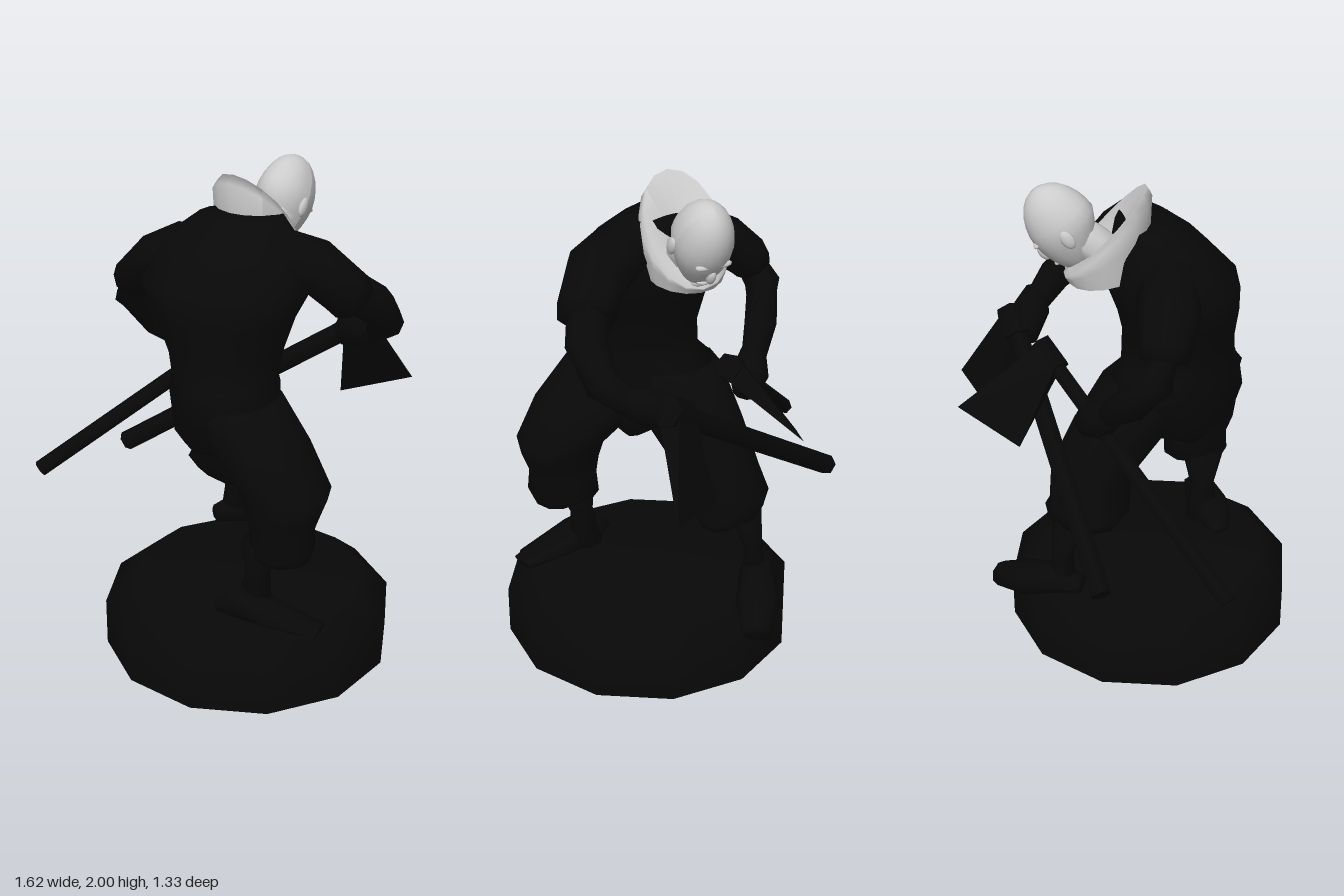
import * as THREE from 'three';
import { ConvexGeometry } from 'three/addons/geometries/ConvexGeometry.js';

const dark = new THREE.MeshStandardMaterial({ color: 0x080808, side: THREE.DoubleSide });
const skin = new THREE.MeshStandardMaterial({ color: 0xcccccc, side: THREE.DoubleSide });
const UP = new THREE.Vector3(0, 1, 0);
const V = (p) => new THREE.Vector3(...p);
const V2 = (p) => new THREE.Vector2(...p);

// Skin elliptical rings {c, rx, rz, q} into a closed body.
function skinRings(rings, n) {
  const pos = [], index = [];
  for (const { c, rx, rz, q } of rings) {
    for (let j = 0; j < n; j++) {
      const t = (j / n) * Math.PI * 2;
      const p = new THREE.Vector3(Math.cos(t) * rx, 0, Math.sin(t) * rz).applyQuaternion(q).add(c);
      pos.push(p.x, p.y, p.z);
    }
  }
  const last = rings.length - 1;
  for (let i = 0; i < last; i++) {
    for (let j = 0; j < n; j++) {
      const a = i * n + j, b = i * n + (j + 1) % n;
      index.push(a, a + n, b, b, a + n, b + n);
    }
  }
  const lo = pos.length / 3, hi = lo + 1;
  pos.push(...rings[0].c.toArray(), ...rings[last].c.toArray());
  for (let j = 0; j < n; j++) {
    const k = (j + 1) % n;
    index.push(lo, j, k, hi, last * n + k, last * n + j);
  }
  const g = new THREE.BufferGeometry();
  g.setAttribute('position', new THREE.Float32BufferAttribute(pos, 3));
  g.setIndex(index);
  g.computeVertexNormals();
  return g;
}

// Level rings, bottom to top: [x, y, z, rx, rz, yaw]
const stack = (rows, n = 10) => skinRings(rows.map(([x, y, z, rx, rz, yaw = 0]) => ({
  c: V([x, y, z]), rx, rz, q: new THREE.Quaternion().setFromAxisAngle(UP, yaw),
})), n);

// Rings square to a path: [x, y, z, half width, half thickness]
function limb(rows, n = 8) {
  const pts = rows.map((r) => V(r.slice(0, 3)));
  return skinRings(rows.map((r, i) => {
    const d = pts[Math.min(i + 1, pts.length - 1)].clone().sub(pts[Math.max(i - 1, 0)]).normalize();
    const s = UP.clone().cross(d).normalize();
    const m = new THREE.Matrix4().makeBasis(s, d, s.clone().cross(d));
    return { c: pts[i], rx: r[3], rz: r[4], q: new THREE.Quaternion().setFromRotationMatrix(m) };
  }), n);
}

export function createModel() {
  const model = new THREE.Group();
  const add = (name, geometry, material = dark, parent = model) => {
    const m = new THREE.Mesh(geometry, material);
    m.name = name;
    parent.add(m);
    return m;
  };

  // Hollow twelve-sided plinth with a chamfered top
  const profile = [[0.595, 0], [0.595, 0.2], [0.48, 0.295], [0, 0.295]].map(V2);
  add('base', new THREE.LatheGeometry(profile, 12)).position.set(0.04, 0, 0.07);

  // Hunched torso, turned at the shoulders
  add('torso', stack([
    [-0.04, 0.9, 0.12, 0.15, 0.06], [-0.05, 1.0, 0.12, 0.21, 0.24], [-0.06, 1.19, 0.12, 0.22, 0.3],
    [-0.06, 1.24, 0.13, 0.21, 0.23, -0.2], [-0.06, 1.36, 0.13, 0.23, 0.22, -0.3],
    [-0.06, 1.5, 0.12, 0.28, 0.24, -0.4], [-0.05, 1.62, 0.1, 0.34, 0.26, -0.45],
    [-0.02, 1.75, 0.06, 0.28, 0.19, -0.45], [0.02, 1.85, 0.03, 0.17, 0.1, -0.45],
  ], 12));

  // Baggy trouser legs
  add('rearTrouserLeg', stack([
    [0.13, 0.57, 0.43, 0.11, 0.1], [0.13, 0.61, 0.41, 0.13, 0.15], [0.13, 0.7, 0.41, 0.13, 0.14],
    [0.13, 0.77, 0.42, 0.15, 0.16], [0.14, 0.86, 0.41, 0.18, 0.18],
    [0.05, 1.02, 0.31, 0.2, 0.23], [-0.03, 1.19, 0.22, 0.18, 0.21],
  ]));
  add('frontTrouserLeg', stack([
    [0.07, 0.57, -0.26, 0.11, 0.09], [0.05, 0.62, -0.28, 0.18, 0.14], [0.01, 0.68, -0.28, 0.18, 0.15],
    [0.05, 0.81, -0.23, 0.17, 0.17], [0.01, 1.0, -0.1, 0.19, 0.21], [-0.04, 1.2, 0, 0.18, 0.2],
  ]));

  // Shins and feet
  add('rearShin', stack([[0.02, 0.31, 0.36, 0.08, 0.07], [0.04, 0.47, 0.37, 0.05, 0.05], [0.06, 0.63, 0.39, 0.09, 0.09]], 8));
  add('frontShin', stack([[0.04, 0.31, -0.4, 0.06, 0.05], [0.05, 0.47, -0.39, 0.05, 0.04], [0.04, 0.63, -0.35, 0.09, 0.07]], 8));
  add('rearFoot', limb([
    [-0.12, 0.32, 0.34, 0.04, 0.02], [-0.03, 0.35, 0.37, 0.08, 0.07],
    [0.1, 0.32, 0.45, 0.09, 0.045], [0.26, 0.295, 0.55, 0.06, 0.015],
  ]));
  add('frontFoot', limb([
    [-0.04, 0.34, -0.37, 0.04, 0.04], [0.05, 0.34, -0.41, 0.07, 0.06],
    [0.19, 0.29, -0.46, 0.09, 0.07], [0.34, 0.24, -0.5, 0.06, 0.05],
  ]));

  // Arms: short sleeves, forearms and fists
  add('leftSleeve', limb([
    [0.12, 1.72, 0.12, 0.14, 0.11], [0.28, 1.68, 0.17, 0.14, 0.11],
    [0.39, 1.58, 0.17, 0.12, 0.1], [0.43, 1.54, 0.16, 0.11, 0.1],
  ]));
  add('leftForearm', limb([
    [0.38, 1.6, 0.17, 0.08, 0.08], [0.53, 1.49, 0.12, 0.08, 0.08],
    [0.6, 1.38, 0.03, 0.065, 0.07], [0.58, 1.29, -0.1, 0.05, 0.05],
  ]));
  add('leftHand', limb([
    [0.61, 1.33, -0.06, 0.05, 0.05], [0.55, 1.29, -0.14, 0.08, 0.08], [0.47, 1.24, -0.22, 0.05, 0.06],
  ]));
  add('rightSleeve', limb([
    [-0.18, 1.69, -0.03, 0.12, 0.12], [-0.31, 1.62, -0.14, 0.12, 0.1],
    [-0.37, 1.54, -0.21, 0.1, 0.09], [-0.385, 1.5, -0.23, 0.09, 0.08],
  ]));
  add('rightForearm', limb([
    [-0.36, 1.56, -0.2, 0.07, 0.07], [-0.39, 1.43, -0.27, 0.075, 0.07],
    [-0.28, 1.3, -0.3, 0.065, 0.07], [-0.16, 1.2, -0.31, 0.05, 0.05],
  ]));
  add('rightHand', limb([
    [-0.19, 1.22, -0.3, 0.05, 0.05], [-0.1, 1.15, -0.31, 0.08, 0.08], [-0.03, 1.1, -0.32, 0.05, 0.05],
  ]));

  // Two axes: shaft between two points, blade flaring to an edge
  function axe(name, butt, top, radius, edge) {
    const group = new THREE.Group();
    group.name = name;
    model.add(group);
    const a = V(butt), b = V(top), d = b.clone().sub(a), len = d.length();
    d.normalize();
    const shaft = add('shaft', new THREE.CylinderGeometry(radius, radius, len, 6), dark, group);
    shaft.position.copy(a).add(b).multiplyScalar(0.5);
    shaft.quaternion.setFromUnitVectors(UP, d);
    const [e, f] = edge.map(V);
    const flat = e.clone().sub(b).cross(f.clone().sub(b)).normalize();
    const pts = [e, f];
    for (const s of [-1, 1]) {
      for (const k of [-0.02, -0.13]) pts.push(b.clone().addScaledVector(d, k).addScaledVector(flat, s * 0.045));
    }
    add('blade', new ConvexGeometry(pts), dark, group);
    const socket = add('socket', new THREE.CylinderGeometry(radius * 1.5, radius * 1.5, 0.13, 6), dark, group);
    socket.position.copy(b).addScaledVector(d, -0.07);
    socket.quaternion.copy(shaft.quaternion);
  }
  axe('rightAxe', [-0.8, 0.66, -0.27], [0.24, 1.35, -0.33], 0.034, [[0.34, 1.14, -0.66], [0.08, 1.04, -0.56]]);
  axe('leftAxe', [-0.42, 0.62, -0.57], [0.59, 1.31, -0.21], 0.042, [[0.5, 0.9, -0.38], [0.8, 0.97, -0.33]]);

  // Thick collar, high behind the head, low in front, sloping in to the neck
  const collarLine = [[0.15, 1.64], [0.165, 1.74], [0.17, 1.8], [0.15, 1.83], [0.05, 1.77]].map(V2);
  const collarGeo = new THREE.LatheGeometry(collarLine, 16);
  const cp = collarGeo.attributes.position;
  for (let i = 0; i < cp.count; i++) {
    const back = (cp.getZ(i) - cp.getX(i)) * 0.707 / 0.16;
    const rise = (cp.getY(i) - 1.6) / 0.23;
    cp.setY(i, cp.getY(i) + back * 0.18 * rise);
  }
  collarGeo.computeVertexNormals();
  add('collar', collarGeo, skin).position.set(0.09, 0, -0.1);
  add('neck', limb([[0.09, 1.7, -0.08, 0.08, 0.08], [0.2, 1.8, -0.18, 0.08, 0.08]]), skin);

  // Bald head, bowed and turned
  const head = new THREE.Group();
  head.name = 'head';
  head.position.set(0.215, 1.825, -0.21);
  head.rotation.set(0.6, Math.PI - 0.75, 0, 'YXZ');
  model.add(head);
  const skull = new THREE.SphereGeometry(1, 20, 14);
  const sp = skull.attributes.position;
  for (let i = 0; i < sp.count; i++) {
    const y = sp.getY(i), low = Math.max(0, -y);
    const jaw = 1 - low * 0.3;
    sp.setXYZ(i, sp.getX(i) * 0.112 * jaw, y * 0.182, sp.getZ(i) * 0.135 * jaw + low * 0.035);
  }
  skull.computeVertexNormals();
  add('skull', skull, skin, head);
  const feature = (name, x, y, z, sx, sy, sz) => {
    const m = add(name, new THREE.SphereGeometry(1, 10, 8), skin, head);
    m.position.set(x, y, z);
    m.scale.set(sx, sy, sz);
  };
  feature('nose', 0, -0.05, 0.128, 0.017, 0.036, 0.022);
  feature('mouth', 0, -0.11, 0.105, 0.03, 0.01, 0.016);
  feature('chin', 0, -0.15, 0.075, 0.035, 0.024, 0.025);
  for (const s of [-1, 1]) {
    feature('brow', s * 0.04, 0.005, 0.115, 0.035, 0.012, 0.016);
    feature('ear', s * 0.108, -0.02, -0.015, 0.014, 0.04, 0.026);
  }

  return model;
}
